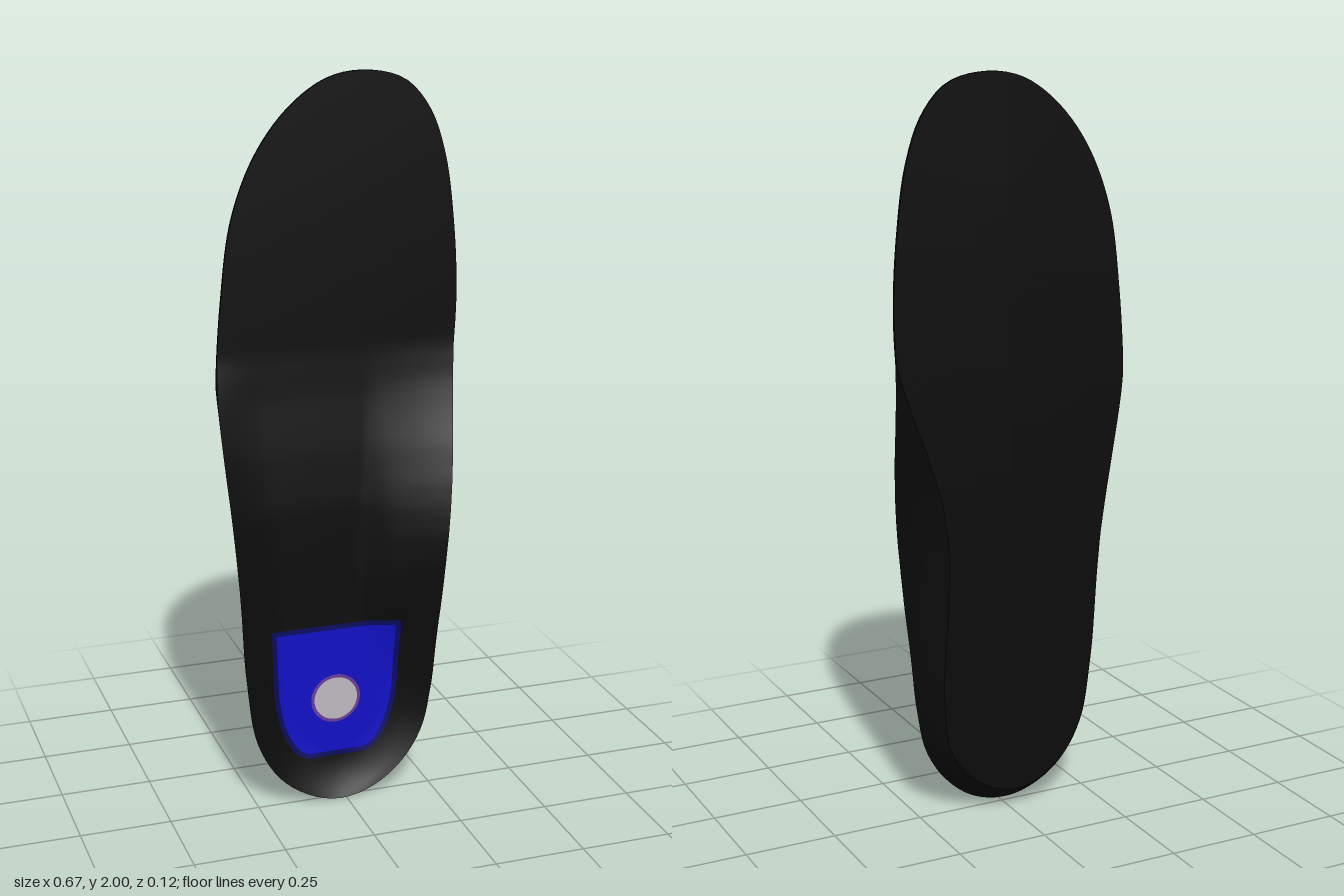
import * as THREE from 'three';

const { clamp, lerp, smoothstep } = THREE.MathUtils;
const COUNT = 180;
const BASE_Z = -0.06;

// Rim outline, counter-clockwise from the heel
const outlineCurve = new THREE.CatmullRomCurve3([
  [-0.015, 0], [0.08, 0.023], [0.16, 0.085], [0.22, 0.18], [0.245, 0.3], [0.26, 0.5], [0.277, 0.75],
  [0.302, 1.0], [0.322, 1.2], [0.333, 1.4], [0.322, 1.6], [0.295, 1.78], [0.25, 1.9], [0.18, 1.975],
  [0.07, 2.0], [-0.03, 1.983], [-0.13, 1.915], [-0.22, 1.8], [-0.285, 1.64], [-0.317, 1.43],
  [-0.334, 1.18], [-0.328, 1.03], [-0.312, 0.85], [-0.298, 0.65], [-0.285, 0.4], [-0.255, 0.2],
  [-0.19, 0.085], [-0.1, 0.02],
].map(([x, y]) => new THREE.Vector3(x, y, 0)), true);
const outline = outlineCurve.getSpacedPoints(COUNT).slice(0, COUNT);
const fineOutline = outlineCurve.getSpacedPoints(700);

// Interpolates a [position, value] list with straight segments
function along(list, y) {
  if (y <= list[0][0]) return list[0][1];
  for (let i = 1; i < list.length; i++) {
    const [y0, v0] = list[i - 1], [y1, v1] = list[i];
    if (y <= y1) return lerp(v0, v1, (y - y0) / (y1 - y0));
  }
  return list[list.length - 1][1];
}

// Heights of the two rims and the foot bed, and how far the base is drawn in
const archRim = [[0, 0.02], [0.28, 0.022], [0.4, 0.029], [0.5, 0.039], [0.6, 0.052], [0.68, 0.059], [0.76, 0.061],
  [0.83, 0.056], [0.9, 0.045], [1.0, 0.02], [1.1, -0.012], [1.18, -0.036], [1.27, -0.052]];
const outerRim = [[0, 0.02], [0.5, 0.02], [0.65, 0.016], [0.85, 0], [1.0, -0.012], [1.15, -0.032], [1.27, -0.052]];
const bed = [[0, -0.02], [0.85, -0.02], [1.0, -0.03], [1.15, -0.045], [1.27, -0.052]];
const archInset = [[0, 0.056], [0.2, 0.042], [0.4, 0.052], [0.6, 0.08], [0.77, 0.094], [0.9, 0.087], [1.03, 0.06],
  [1.15, 0.028], [1.27, 0]];
const outerInset = [[0, 0.056], [0.4, 0.042], [0.75, 0.035], [1.0, 0.018], [1.2, 0]];

function sideValue(inner, outer, x, y) {
  return lerp(along(outer, y), along(inner, y), smoothstep(x, -0.1, 0.15));
}

// Height of the cupped upper surface
function topZ(x, y) {
  let d = Infinity;
  for (const p of fineOutline) d = Math.min(d, Math.hypot(p.x - x, p.y - y));
  const arch = smoothstep(y, 0.3, 0.65) * smoothstep(x, -0.1, 0.15);
  const wall = clamp(1 - d / lerp(0.13, 0.28, arch), 0, 1);
  const floor = along(bed, y);
  return floor + (sideValue(archRim, outerRim, x, y) - floor) * Math.pow(wall, lerp(1.8, 1.05, arch));
}

// Skins closed rings; the front lies outside when they run from base to top
function loft(name, rings, material) {
  const n = rings[0].length, index = [];
  for (let j = 0; j < rings.length - 1; j++) {
    for (let i = 0; i < n; i++) {
      const k = (i + 1) % n, a = j * n + i, b = j * n + k;
      index.push(a, b, b + n, a, b + n, a + n);
    }
  }
  const geometry = new THREE.BufferGeometry().setFromPoints(rings.flat());
  geometry.setIndex(index);
  geometry.computeVertexNormals();
  const mesh = new THREE.Mesh(geometry, material);
  mesh.name = name;
  return mesh;
}

// Patch that follows the foot bed, filled from its border to its middle
function patch(name, border, cx, cy, lift, color) {
  const rings = [];
  for (let j = 0; j <= 12; j++) {
    rings.push(border.map((p) => {
      const x = lerp(p.x, cx, j / 12), y = lerp(p.y, cy, j / 12);
      return new THREE.Vector3(x, y, topZ(x, y) + lift);
    }));
  }
  return loft(name, rings, new THREE.MeshStandardMaterial({ color }));
}

// Heel pad border: straight top edge, rounded lower end
function padBorder(grow) {
  const s = new THREE.Shape();
  const l = -0.195 - grow, r = 0.155 + grow, t = 0.5 + grow, b = 0.125 - grow;
  s.moveTo(l, t);
  s.lineTo(l + 0.005, 0.32);
  s.bezierCurveTo(l + 0.015, 0.2, l + 0.06, b, -0.09, b);
  s.lineTo(0.05, b);
  s.bezierCurveTo(r - 0.06, b, r - 0.015, 0.2, r - 0.005, 0.32);
  s.lineTo(r, t);
  s.closePath();
  return s.getSpacedPoints(80).slice(0, 80);
}

function circle(cx, cy, radius) {
  return new THREE.Path().absarc(cx, cy, radius, 0, Math.PI * 2).getSpacedPoints(40).slice(0, 40);
}

export function createModel() {
  const group = new THREE.Group();
  group.name = 'insole';
  const black = new THREE.MeshStandardMaterial({ color: 0x0b0b0b });

  // Centre line that every ring closes onto
  const spine = outline.map((p) => {
    const y = clamp(p.y, 0.3, 1.7);
    return new THREE.Vector3(lerp(-0.02, 0.02, (y - 0.3) / 1.4), y, BASE_Z);
  });

  // Upper surface
  const top = [];
  for (let j = 0; j <= 28; j++) {
    top.push(outline.map((p, i) => {
      const x = lerp(p.x, spine[i].x, j / 28), y = lerp(p.y, spine[i].y, j / 28);
      return new THREE.Vector3(x, y, topZ(x, y));
    }));
  }
  group.add(loft('footBed', top, black));

  // Base edge, drawn inward below the heel and arch
  const edge = outline.map((p, i) => {
    const q = outline[(i + 1) % COUNT], o = outline[(i + COUNT - 1) % COUNT];
    const tangent = new THREE.Vector3().subVectors(q, o).normalize();
    const inset = sideValue(archInset, outerInset, p.x, p.y);
    return new THREE.Vector3(p.x - tangent.y * inset, p.y + tangent.x * inset, BASE_Z);
  });

  // Side wall, slightly bulged
  const wall = [];
  for (let j = 0; j <= 6; j++) {
    const t = j / 6, out = 1 - Math.pow(1 - t, 1.2);
    wall.push(edge.map((e, i) => new THREE.Vector3(
      lerp(e.x, outline[i].x, out), lerp(e.y, outline[i].y, out), lerp(BASE_Z, top[0][i].z, t))));
  }
  group.add(loft('sideWall', wall, black));

  // Flat underside
  group.add(loft('underside', [spine, edge], black));

  // Heel pad with a soft border and a pale centre spot
  group.add(patch('heelPadBorder', padBorder(0.008).reverse(), -0.02, 0.31, 0.002, 0x0a0a60));
  group.add(patch('heelPad', padBorder(-0.006).reverse(), -0.02, 0.31, 0.003, 0x1010c4));
  group.add(patch('spotRing', circle(-0.02, 0.29, 0.071), -0.02, 0.29, 0.004, 0x6a3a9a));
  group.add(patch('heelSpot', circle(-0.02, 0.29, 0.062), -0.02, 0.29, 0.005, 0xbcb8c0));

  // The pad border runs top-left, down, right: restore its outward winding
  for (const name of ['heelPadBorder', 'heelPad']) {
    const { geometry } = group.getObjectByName(name);
    if (geometry.attributes.normal.getZ(0) < 0) {
      geometry.setIndex(Array.from(geometry.index.array).reverse());
      geometry.computeVertexNormals();
    }
  }
  return group;
}
